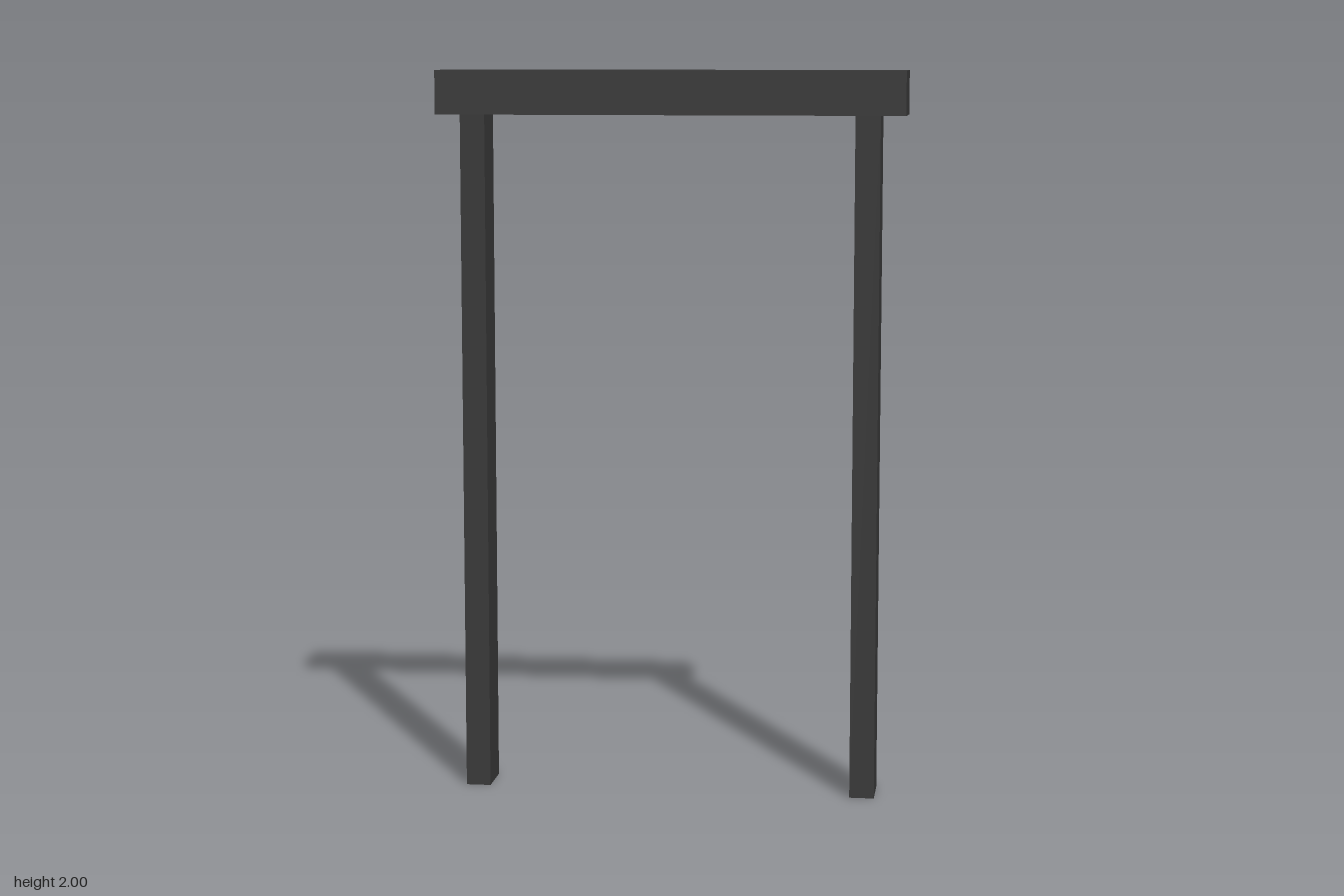
import * as THREE from 'three';

export function createModel() {
  const model = new THREE.Group();
  model.name = 'doorFrame';
  const material = new THREE.MeshStandardMaterial({ color: 0x3a3a3a });

  const addBox = (name, [w, h, d], [x, y, z]) => {
    const mesh = new THREE.Mesh(new THREE.BoxGeometry(w, h, d), material);
    mesh.name = name;
    mesh.position.set(x, y, z);
    model.add(mesh);
  };

  // Beam across the top, overhanging the posts on every side
  const height = 2, beamHeight = 0.12;
  const postHeight = height - beamHeight;
  addBox('lintel', [1.28, beamHeight, 0.174], [0, postHeight + beamHeight / 2, 0]);

  // Two upright posts, set a hair off centre under the beam
  for (const [name, side] of [['leftPost', 1], ['rightPost', -1]]) {
    addBox(name, [0.068, postHeight, 0.123], [side * 0.54 - 0.003, postHeight / 2, -0.004]);
  }

  return model;
}
